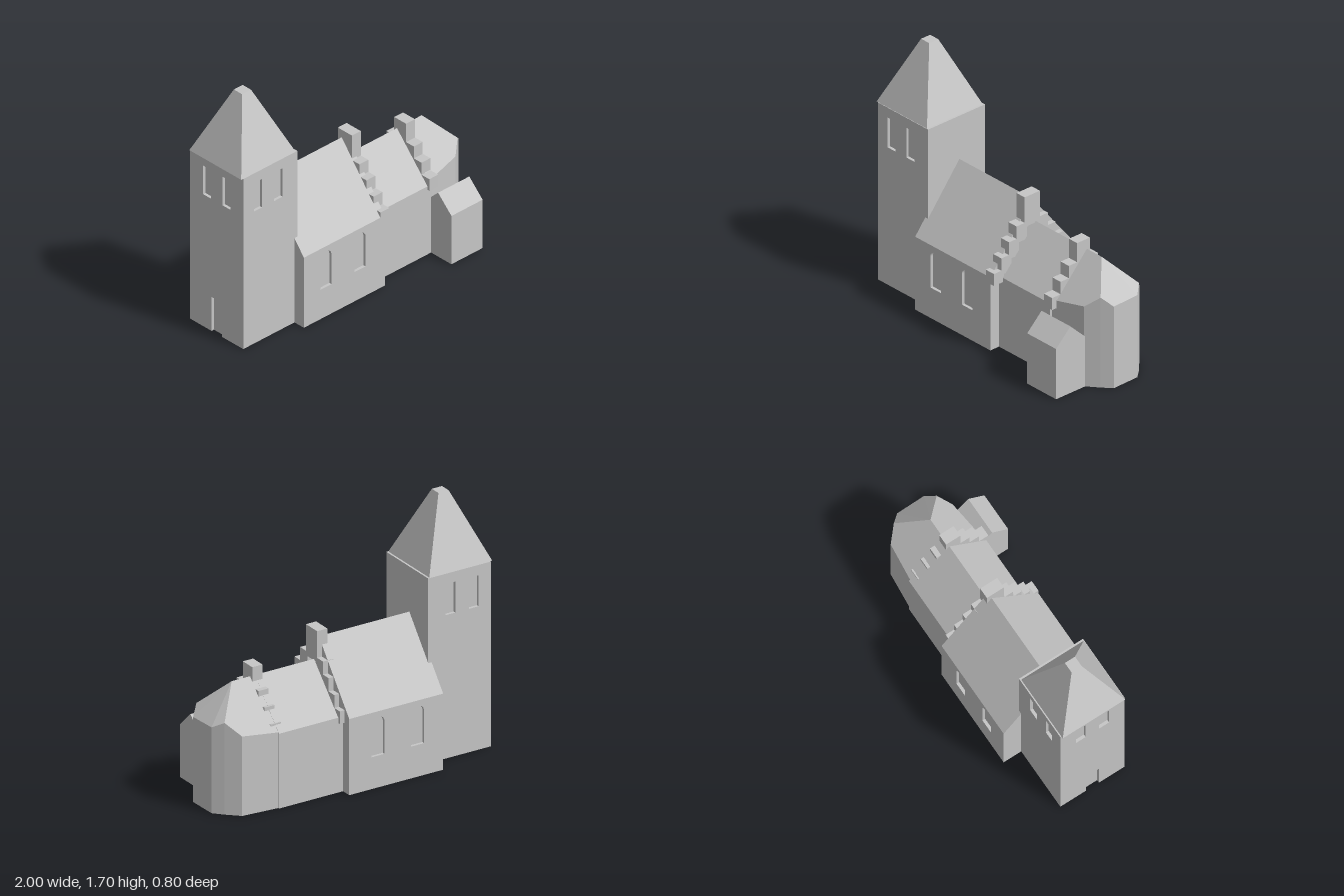
import * as THREE from 'three';
import { ConvexGeometry } from 'three/addons/geometries/ConvexGeometry.js';

const stone = new THREE.MeshStandardMaterial({ color: 0xc6c6c6 });
stone.name = 'paleStone';

const RECESS = 0.02; // depth of window and door niches

export function createModel() {
  const model = new THREE.Group();
  model.name = 'church';

  const add = (name, geometry, parent = model) => {
    const mesh = new THREE.Mesh(geometry, stone);
    mesh.name = name;
    parent.add(mesh);
    return mesh;
  };
  const group = (name) => {
    const g = new THREE.Group();
    g.name = name;
    model.add(g);
    return g;
  };
  const shapeOf = (pts) => new THREE.Shape(pts.map(([a, b]) => new THREE.Vector2(a, b)));
  const extrude = (shape, depth) =>
    new THREE.ExtrudeGeometry(shape, { depth, bevelEnabled: false, curveSegments: 10 });

  // Box given by its limits on each axis
  const block = (name, x0, x1, y0, y1, z0, z1, parent) =>
    add(name, new THREE.BoxGeometry(x1 - x0, y1 - y0, z1 - z0)
      .translate((x0 + x1) / 2, (y0 + y1) / 2, (z0 + z1) / 2), parent);

  // (z, y) profile swept along x
  const alongX = (name, pts, x0, x1, parent) =>
    add(name, extrude(shapeOf(pts), x1 - x0).rotateY(-Math.PI / 2).translate(x1, 0, 0), parent);

  // Window opening, square or round-headed
  const opening = (u0, u1, y0, y1, arched) => {
    const r = (u1 - u0) / 2;
    const p = new THREE.Path();
    p.moveTo(u0, y0).lineTo(u1, y0);
    if (arched) {
      p.lineTo(u1, y1 - r);
      p.absarc(u0 + r, y1 - r, r, 0, Math.PI, false);
    } else {
      p.lineTo(u1, y1).lineTo(u0, y1);
    }
    p.closePath();
    return p;
  };
  const panel = (pts, holes) => {
    const s = shapeOf(pts);
    s.holes.push(...holes);
    return extrude(s, RECESS);
  };
  const rect = (a, b, h) => [[a, 0], [b, 0], [b, h], [a, h]];

  // Tower: core with pierced outer walls
  const tower = group('tower');
  const [tx0, tx1, tz0, tz1, th] = [-0.985, -0.525, -0.27, 0.203, 1.25];
  block('towerCore', tx0 + RECESS, tx1, 0, th, tz0 + RECESS, tz1 - RECESS, tower);
  const belfry = () => [opening(-0.895, -0.825, 0.97, 1.18), opening(-0.725, -0.65, 0.97, 1.18)];
  for (const [name, z] of [['towerFrontWall', tz1 - RECESS], ['towerBackWall', tz0]]) {
    add(name, panel(rect(tx0 + RECESS, tx1, th), belfry()).translate(0, 0, z), tower);
  }
  // West wall with a doorway cut up from the ground
  const westOutline = [[tz0, 0], [-0.08, 0], [-0.08, 0.25], [0.015, 0.25], [0.015, 0],
    [tz1, 0], [tz1, th], [tz0, th]];
  add('towerWestWall', panel(westOutline,
    [opening(-0.155, -0.083, 0.97, 1.18), opening(0.017, 0.09, 0.97, 1.18)])
    .rotateY(-Math.PI / 2).translate(tx0 + RECESS, 0, 0), tower);

  // Blunt four-sided spire
  add('spire', new THREE.CylinderGeometry(0.0375 * Math.SQRT2, 0.231 * Math.SQRT2, 0.45, 4, 1)
    .rotateY(Math.PI / 4).toNonIndexed().translate(-0.769, 1.475, -0.031), tower)
    .geometry.computeVertexNormals();

  // Nave with arched windows in both long walls
  const nave = group('nave');
  const [nx0, nx1, nz0, nz1, nh] = [-0.55, 0.14, -0.4, 0.287, 0.515];
  block('naveCore', nx0, nx1, 0, nh, nz0 + RECESS, nz1 - RECESS, nave);
  for (const [name, z] of [['naveFrontWall', nz1 - RECESS], ['naveBackWall', nz0]]) {
    add(name, panel(rect(nx0, nx1, nh),
      [opening(-0.41, -0.315, 0.215, 0.48, true), opening(-0.12, -0.025, 0.215, 0.48, true)])
      .translate(0, 0, z), nave);
  }
  alongX('naveRoof', [[nz0, nh], [nz1, nh], [-0.057, 0.945]], nx0, nx1, nave);

  // Choir
  alongX('choir', [[-0.33, 0], [0.215, 0], [0.215, 0.5], [-0.057, 0.8], [-0.33, 0.506]], 0.14, 0.61);

  // Apse: walls rise to the lower of the side slopes and the end hip
  const roofY = (x, z) => Math.min(0.8 - 1.09 * Math.abs(z + 0.057), 0.8 - 1.02 * (x - 0.78));
  const plan = [[0.6, 0.2], [0.86, 0.16], [0.94, 0.095], [1, 0.04],
    [0.995, -0.16], [0.94, -0.222], [0.86, -0.298], [0.6, -0.322]];
  const apsePoints = [new THREE.Vector3(0.6, 0.8, -0.057), new THREE.Vector3(0.78, 0.8, -0.057)];
  for (const [x, z] of plan) {
    apsePoints.push(new THREE.Vector3(x, 0, z), new THREE.Vector3(x, roofY(x, z), z));
  }
  add('apse', new ConvexGeometry(apsePoints));

  // Crow-stepped gables: a top block, then pairs of steps going down
  const steppedGable = (name, x0, x1, steps, bottom) => {
    const g = group(name);
    const mid = -0.029;
    steps.forEach(([half, top], i) => {
      const low = i + 1 < steps.length ? steps[i + 1][1] - 0.03 : bottom;
      if (i === 0) {
        block('gableTop', x0, x1, low, top, mid - half, mid + half, g);
        return;
      }
      const inner = steps[i - 1][0] - 0.02;
      block('gableStepFront', x0, x1, low, top, mid + inner, mid + half, g);
      block('gableStepBack', x0, x1, low, top, mid - half, mid - inner, g);
    });
  };
  steppedGable('naveGable', 0.1, 0.175,
    [[0.063, 1], [0.13, 0.82], [0.193, 0.732], [0.256, 0.642], [0.318, 0.555]], 0.47);
  steppedGable('choirGable', 0.57, 0.645,
    [[0.053, 0.87], [0.122, 0.735], [0.19, 0.648], [0.26, 0.56]], 0.475);

  // Small vestry beside the apse
  alongX('vestry', [[0.12, 0], [0.397, 0], [0.397, 0.355], [0.278, 0.47], [0.185, 0.38], [0.12, 0.32]],
    0.6, 0.865);

  return model;
}
